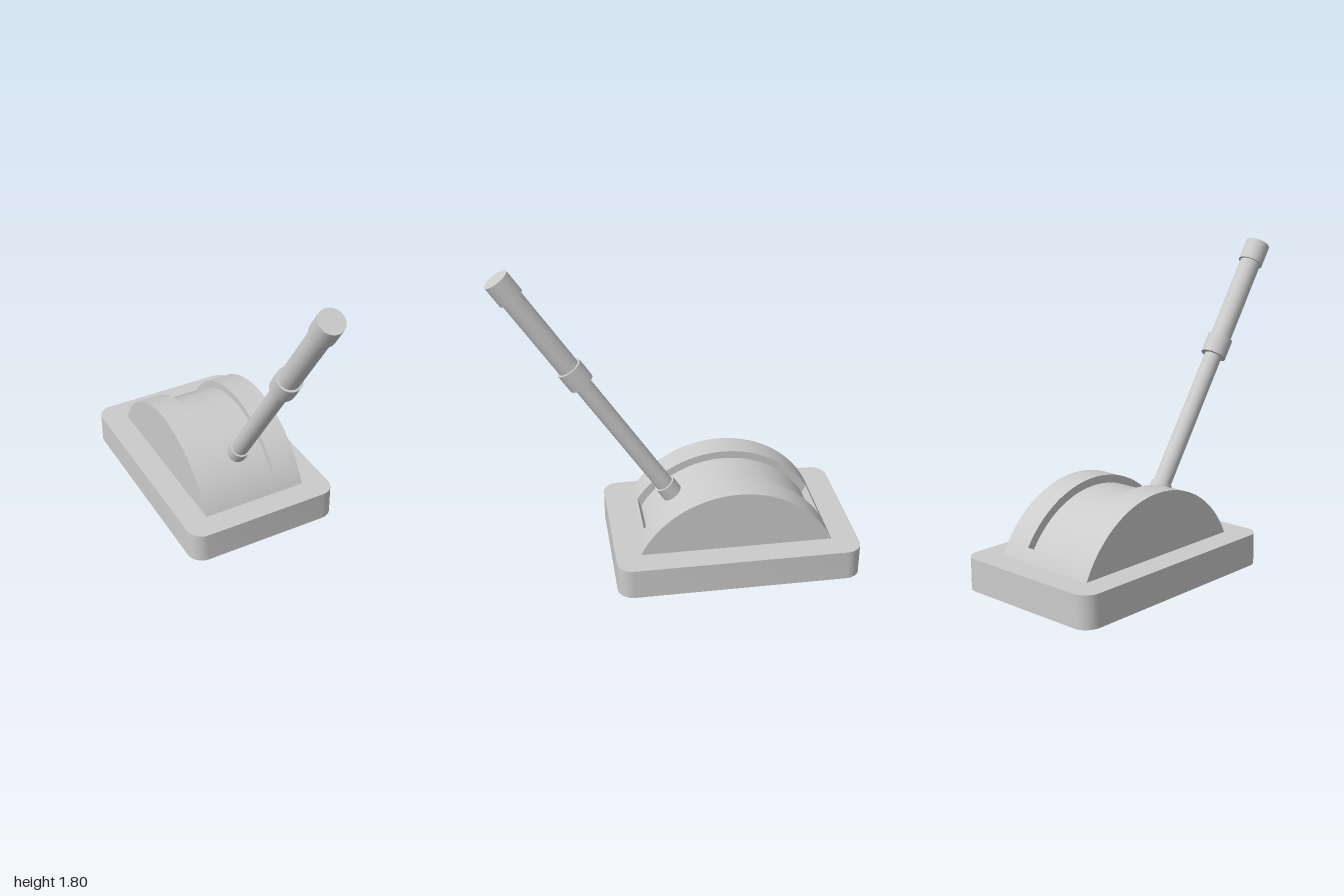
import * as THREE from 'three';
import { toCreasedNormals } from 'three/addons/utils/BufferGeometryUtils.js';

const material = new THREE.MeshStandardMaterial({ color: 0xcccccc });

function addMesh(parent, name, geometry) {
  const mesh = new THREE.Mesh(geometry, material);
  mesh.name = name;
  parent.add(mesh);
  return mesh;
}

// Plate with rounded corners, lying flat
function basePlate(halfX, zBack, zFront, height, r) {
  const s = new THREE.Shape();
  const top = -zBack, bottom = -zFront;
  s.moveTo(-halfX + r, bottom);
  s.absarc(halfX - r, bottom + r, r, -Math.PI / 2, 0);
  s.absarc(halfX - r, top - r, r, 0, Math.PI / 2);
  s.absarc(-halfX + r, top - r, r, Math.PI / 2, Math.PI);
  s.absarc(-halfX + r, bottom + r, r, Math.PI, Math.PI * 1.5);
  const g = new THREE.ExtrudeGeometry(s, { depth: height, bevelEnabled: false, curveSegments: 4 });
  g.rotateX(-Math.PI / 2);
  return toCreasedNormals(g, 0.5);
}

// Arc centre and radii of the domed housing, in the z-y plane
const CZ = -0.3, CY = -0.077, R = 0.607, FLOOR_R = 0.562, PLATE_TOP = 0.18;

// Points along an arc from front to back, starting and ending at height y
function arcPoints(radius, y, n) {
  const a0 = Math.asin((y - CY) / radius);
  return Array.from({ length: n + 1 }, (_, i) => {
    const a = a0 + (Math.PI - 2 * a0) * i / n;
    return new THREE.Vector2(CZ + radius * Math.cos(a), CY + radius * Math.sin(a));
  });
}

// Extrudes a z-y outline between two x positions
function extrudeAcross(points, x0, x1) {
  const g = new THREE.ExtrudeGeometry(new THREE.Shape(points), { depth: x1 - x0, bevelEnabled: false });
  g.rotateY(-Math.PI / 2);
  g.translate(x1, 0, 0);
  return toCreasedNormals(g, 0.3);
}

export function createModel() {
  const model = new THREE.Group();
  model.name = 'lever';

  addMesh(model, 'basePlate', basePlate(0.463, -1, 0.393, PLATE_TOP, 0.09));

  // Domed housing: two cheeks with a sunken slot between them
  const housing = new THREE.Group();
  housing.name = 'housing';
  model.add(housing);
  const cheek = arcPoints(R, PLATE_TOP, 56);
  addMesh(housing, 'leftCheek', extrudeAcross(cheek, 0.158, 0.315));
  addMesh(housing, 'rightCheek', extrudeAcross(cheek, -0.315, -0.158));

  // Slot floor, with a full-height lip at the front and back
  const lip = arcPoints(R, PLATE_TOP, 56).filter(p => p.y < 0.24);
  const rim = arcPoints(R, 0.247, 1);
  const front = [...lip.filter(p => p.x > CZ), rim[0]];
  const back = [rim[1], ...lip.filter(p => p.x < CZ)];
  addMesh(housing, 'slotFloor', extrudeAcross([...front, ...arcPoints(FLOOR_R, 0.197, 56), ...back], -0.158, 0.158));

  // Lever, built upright from the slot floor and then tilted forward
  const lever = new THREE.Group();
  lever.name = 'leverArm';
  lever.position.set(0, 0.382, 0.031);
  lever.rotation.x = Math.atan2(0.551, 0.834);
  model.add(lever);
  const sections = [
    ['footCollar', 0.061, -0.03, 0.075],
    ['lowerRod', 0.051, 0, 0.95],
    ['middleCollar', 0.074, 0.895, 1.013],
    ['upperRod', 0.061, 0.95, 1.58],
    ['endCap', 0.072, 1.519, 1.649],
  ];
  for (const [name, radius, from, to] of sections) {
    const rod = addMesh(lever, name, new THREE.CylinderGeometry(radius, radius, to - from, 32));
    rod.position.y = (from + to) / 2;
  }

  return model;
}
